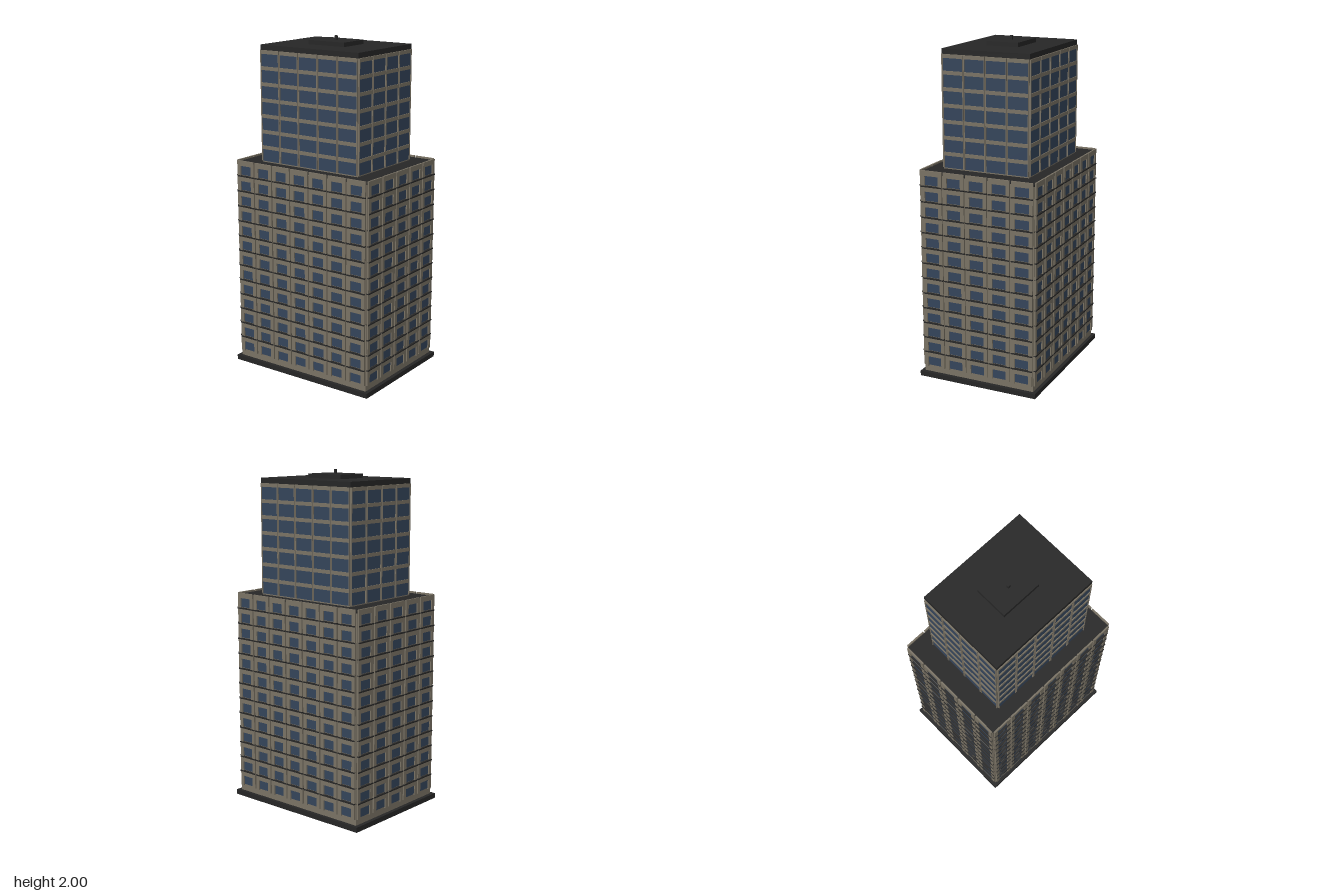
import * as THREE from 'three';
import { mergeGeometries } from 'three/addons/utils/BufferGeometryUtils.js';

const material = (name, color) => {
  const m = new THREE.MeshStandardMaterial({ color });
  m.name = name;
  return m;
};

export function createModel() {
  const concrete = material('concrete', 0x797264);
  const glass = material('blue glass', 0x34445a);
  const dark = material('dark roofing', 0x262626);
  const model = new THREE.Group();
  model.name = 'officeTower';

  const add = (parent, name, geometry, mat) => {
    const mesh = new THREE.Mesh(geometry, mat);
    mesh.name = name;
    parent.add(mesh);
  };

  // Box given by half sizes and its bottom and top heights
  const block = (parent, name, hx, hz, y0, y1, mat) =>
    add(parent, name, new THREE.BoxGeometry(hx * 2, y1 - y0, hz * 2).translate(0, (y0 + y1) / 2, 0), mat);

  // Frame open at the bottom: two side posts under a lintel
  const archFrame = (w, h, openW, openH, depth) => {
    const a = w / 2, b = openW / 2;
    const points = [[-a, 0], [-b, 0], [-b, openH], [b, openH], [b, 0], [a, 0], [a, h], [-a, h]];
    const shape = new THREE.Shape(points.map(([x, y]) => new THREE.Vector2(x, y)));
    return new THREE.ExtrudeGeometry(shape, { depth, bevelEnabled: false });
  };

  // Repeats the window bays on all four sides of a block
  const facade = (parent, o) => {
    const frames = [], panes = [], sills = [];
    for (let side = 0; side < 4; side++) {
      const alongX = side % 2 === 0;
      const half = alongX ? o.hx : o.hz;
      const distance = alongX ? o.hz : o.hx;
      const count = alongX ? o.nx : o.nz;
      const bay = half * 2 / count;
      const place = (g, x, y, z) => g.translate(x, y, distance + z).rotateY(side * Math.PI / 2);
      const frame = archFrame(bay - o.gap, o.pitch, bay - o.post, o.openY + o.openH, o.depth);
      for (let row = 0; row < o.rows; row++) {
        for (let i = 0; i < count; i++) {
          const x = -half + (i + 0.5) * bay;
          const y = o.y0 + row * o.pitch;
          frames.push(place(frame.clone(), x, y, 0));
          panes.push(place(new THREE.BoxGeometry(bay - o.post, o.openH, 0.004),
            x, y + o.openY + o.openH / 2, 0.001));
          if (o.sill && row > 0) {
            sills.push(place(new THREE.BoxGeometry(bay - o.gap, o.sill, o.depth + 0.004),
              x, y, (o.depth + 0.004) / 2));
          }
        }
      }
    }
    add(parent, 'windowFrames', mergeGeometries(frames), concrete);
    add(parent, 'windowPanes', mergeGeometries(panes), glass);
    if (sills.length) add(parent, 'windowSills', mergeGeometries(sills), dark);
  };

  // Base plinth
  block(model, 'plinth', 0.485, 0.375, 0, 0.03, dark);

  // Wide lower block with small windows and a roof terrace behind a low parapet
  const lower = new THREE.Group();
  lower.name = 'lowerBlock';
  block(lower, 'lowerCore', 0.462, 0.354, 0.03, 1.25, concrete);
  block(lower, 'terrace', 0.462, 0.354, 1.25, 1.26, dark);
  facade(lower, {
    hx: 0.462, hz: 0.354, nx: 7, nz: 5, rows: 13, y0: 0.065, pitch: 0.0927,
    gap: 0.01, post: 0.056, openY: 0.007, openH: 0.055, depth: 0.01, sill: 0.007,
  });
  model.add(lower);

  // Narrower upper block with large windows
  const upper = new THREE.Group();
  upper.name = 'upperBlock';
  block(upper, 'upperCore', 0.341, 0.268, 1.26, 1.92, concrete);
  facade(upper, {
    hx: 0.341, hz: 0.268, nx: 5, nz: 4, rows: 7, y0: 1.267, pitch: 0.0932,
    gap: 0.004, post: 0.013, openY: 0, openH: 0.072, depth: 0.008, sill: 0,
  });
  model.add(upper);

  // Roof, plant room and mast
  block(model, 'roof', 0.343, 0.27, 1.92, 1.95, dark);
  block(model, 'plantRoom', 0.125, 0.098, 1.95, 1.975, dark);
  block(model, 'mast', 0.007, 0.007, 1.975, 2, dark);

  return model;
}
